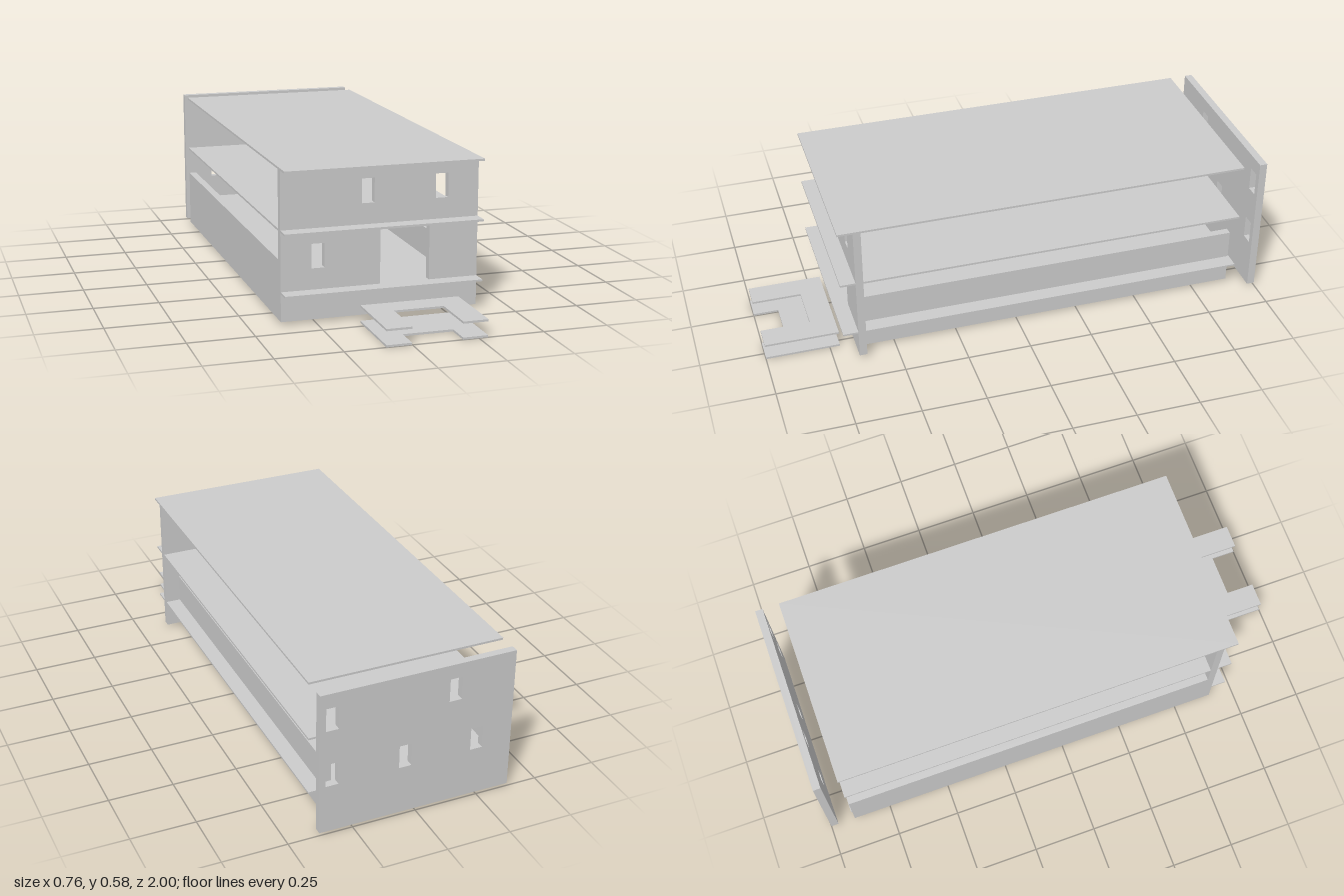
import * as THREE from 'three';

const material = new THREE.MeshStandardMaterial({ color: 0xcccccc });

export function createModel() {
  const model = new THREE.Group();
  model.name = 'house';

  const add = (name, geometry) => {
    const mesh = new THREE.Mesh(geometry, material);
    mesh.name = name;
    model.add(mesh);
    return mesh;
  };

  // Box given by its low and high limits on each axis
  const slab = (name, [x0, x1], [y0, y1], [z0, z1]) =>
    add(name, new THREE.BoxGeometry(x1 - x0, y1 - y0, z1 - z0))
      .position.set((x0 + x1) / 2, (y0 + y1) / 2, (z0 + z1) / 2);

  const rectangle = (path, x0, x1, y0, y1) =>
    path.moveTo(x0, y0).lineTo(x1, y0).lineTo(x1, y1).lineTo(x0, y1).closePath();

  const windowAt = (x, y) => [x - 0.0245, x + 0.0245, y - 0.046, y + 0.046];
  const LOWER = 0.25, UPPER = 0.479;

  // Upright wall facing z, with rectangular openings
  const wall = (name, top, z0, z1, openings) => {
    const shape = rectangle(new THREE.Shape(), -0.38, 0.38, 0.011, top);
    shape.holes = openings.map(o => rectangle(new THREE.Path(), ...o));
    const geometry = new THREE.ExtrudeGeometry(shape, { depth: z1 - z0, bevelEnabled: false });
    add(name, geometry.translate(0, 0, z0));
  };

  wall('frontWall', 0.574, 0.622, 0.652, [
    windowAt(-0.239, LOWER), windowAt(-0.049, UPPER), windowAt(0.237, UPPER),
    [-0.001, 0.19, 0.123, 0.346], // doorway
  ]);
  wall('backWall', 0.582, -1, -0.97, [
    windowAt(-0.239, LOWER), windowAt(0.047, LOWER), windowAt(0.332, LOWER),
    windowAt(-0.144, UPPER), windowAt(0.332, UPPER),
  ]);

  // Low side walls; the left one is set in under the floor edge
  slab('leftWall', [0.29, 0.32], [0.011, 0.239], [-0.9, 0.622]);
  slab('rightWall', [-0.38, -0.35], [0.011, 0.239], [-0.9, 0.622]);

  // Floors and roof
  [['groundFloor', 0.117, 0.124], ['upperFloor', 0.346, 0.354], ['roof', 0.574, 0.582]]
    .forEach(([name, y0, y1]) => slab(name, [-0.38, 0.38], [y0, y1], [-0.904, 0.711]));

  // U-shaped entrance steps, notched from the front
  const step = (name, y, notchZ) => {
    const points = [[-0.096, 0.711], [0.285, 0.711], [0.285, 1], [0.19, 1],
      [0.19, notchZ], [-0.001, notchZ], [-0.001, 1], [-0.096, 1]];
    const shape = new THREE.Shape(points.map(([x, z]) => new THREE.Vector2(x, -z)));
    const geometry = new THREE.ExtrudeGeometry(shape, { depth: 0.008, bevelEnabled: false });
    add(name, geometry.rotateX(-Math.PI / 2).translate(0, y, 0));
  };
  step('lowerStep', 0, 0.902);
  step('upperStep', 0.059, 0.807);

  return model;
}
